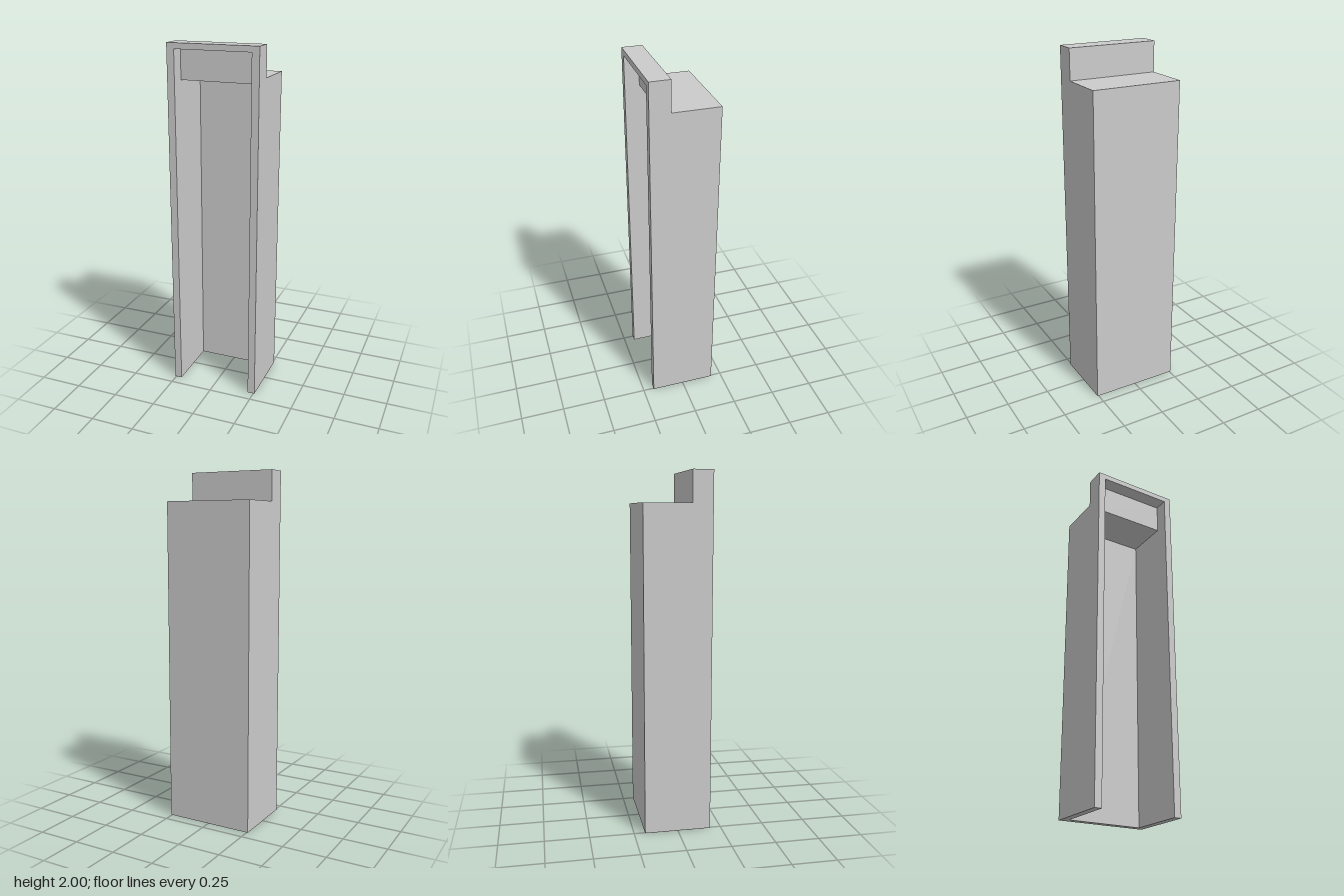
import * as THREE from 'three';

const W = 0.257, FRONT = 0.188, BACK = -0.188; // half width, depth limits
const STEP_Z = 0.075, STEP_Y = 1.83, TOP = 2;  // stepped top
const SIDE = 0.042, REAR = 0.04, ROOF = 0.032; // wall thicknesses

const material = new THREE.MeshStandardMaterial({ color: 0xcccccc, flatShading: true });

// Extrude a (z, y) profile along x, from x0 to x1
function slab(name, points, x0, x1) {
  const shape = new THREE.Shape(points.map(([z, y]) => new THREE.Vector2(z, y)));
  const geometry = new THREE.ExtrudeGeometry(shape, { depth: x1 - x0, bevelEnabled: false });
  geometry.rotateY(-Math.PI / 2).translate(x1, 0, 0);
  const mesh = new THREE.Mesh(geometry, material);
  mesh.name = name;
  return mesh;
}

export function createModel() {
  const group = new THREE.Group();
  group.name = 'steppedOpenCasing';

  // Outer stepped outline, from the back foot up to the front top edge
  const outline = [[BACK, 0], [BACK, STEP_Y], [STEP_Z, STEP_Y], [STEP_Z, TOP], [FRONT, TOP]];

  // Side walls
  const wall = [...outline, [FRONT, 0]];
  group.add(slab('leftWall', wall, W - SIDE, W));
  group.add(slab('rightWall', wall, -W, -W + SIDE));

  // Back, lower roof, riser and upper roof as one folded sheet; front and bottom stay open
  const inner = [
    [FRONT, TOP - ROOF], [STEP_Z + ROOF, TOP - ROOF], [STEP_Z + ROOF, STEP_Y - ROOF],
    [BACK + REAR, STEP_Y - ROOF], [BACK + REAR, 0],
  ];
  group.add(slab('backAndSteppedRoof', [...outline, ...inner], -W + SIDE, W - SIDE));

  return group;
}
